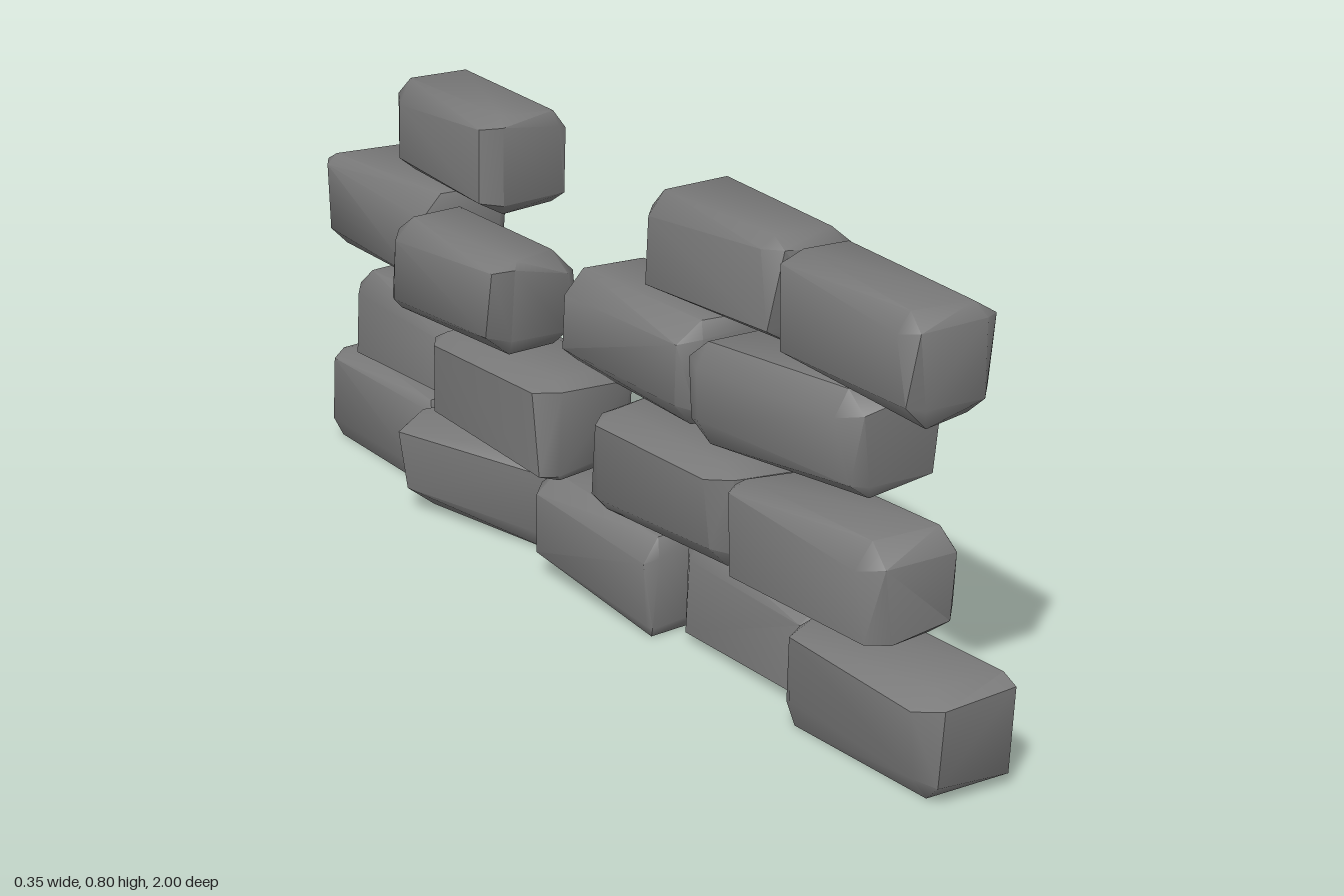
import * as THREE from 'three';
import { toCreasedNormals } from 'three/addons/utils/BufferGeometryUtils.js';
import { ConvexGeometry } from 'three/addons/geometries/ConvexGeometry.js';

// Courses from the ground up; each brick is
// [zMin, zMax, yMin, yMax, xMin, xMax, sideways skew along z]
const courses = [
  [
    [0.61, 1, 0, 0.19, -0.125, 0.07, 0],
    [0.22, 0.61, 0, 0.19, -0.06, 0.135, 0],
    [-0.19, 0.21, 0, 0.19, -0.12, 0.085, 0],
    [-0.6, -0.195, 0, 0.19, -0.155, 0.145, 0.25],
    [-1, -0.605, 0, 0.19, -0.08, 0.115, 0],
  ],
  [
    [0.435, 0.83, 0.195, 0.38, -0.12, 0.09, 0.03],
    [0.015, 0.415, 0.195, 0.38, -0.12, 0.08, 0.03],
    [-0.44, -0.04, 0.22, 0.405, -0.175, 0.04, 0],
    [-0.85, -0.455, 0.22, 0.4, -0.105, 0.09, 0],
  ],
  [
    [0.27, 0.67, 0.39, 0.578, -0.085, 0.175, 0.16],
    [-0.155, 0.24, 0.39, 0.58, -0.065, 0.13, 0],
    [-0.585, -0.195, 0.41, 0.59, -0.175, 0.025, 0],
    [-0.995, -0.6, 0.41, 0.6, -0.08, 0.115, 0],
  ],
  [
    [0.49, 0.89, 0.595, 0.785, -0.09, 0.125, -0.07],
    [0.07, 0.46, 0.595, 0.785, -0.04, 0.155, 0],
    [-0.765, -0.37, 0.615, 0.803, -0.08, 0.135, -0.08],
  ],
];

let seed = 7;
function rand(min, max) {
  seed = (seed * 16807) % 2147483647;
  return min + (max - min) * (seed / 2147483647);
}

// Rough-hewn block: a box with every corner cut back by a different amount
function brickGeometry([z0, z1, y0, y1, x0, x1, skew]) {
  const points = [];
  for (const sx of [-1, 1]) for (const sy of [-1, 1]) for (const sz of [-1, 1]) {
    const cx = rand(0.2, 0.6), cy = rand(0.15, 0.55), cz = rand(0.05, 0.24);
    points.push(
      new THREE.Vector3(sx * rand(0.9, 1), sy * (1 - cy), sz * (1 - cz)),
      new THREE.Vector3(sx * (1 - cx), sy * rand(0.96, 1), sz * (1 - cz)),
      new THREE.Vector3(sx * (1 - cx * 0.8), sy * (1 - cy * 0.8), sz * rand(0.98, 1)),
    );
  }
  for (const p of points) p.x = p.x * 0.1 + p.z * skew * 0.2;

  // Fit the block to its place in the wall
  const target = new THREE.Box3(new THREE.Vector3(x0, y0, z0), new THREE.Vector3(x1, y1, z1));
  const box = new THREE.Box3().setFromPoints(points);
  const scale = target.getSize(new THREE.Vector3()).divide(box.getSize(new THREE.Vector3()));
  for (const p of points) p.sub(box.min).multiply(scale).add(target.min);
  return toCreasedNormals(new ConvexGeometry(points), 0.85);
}

export function createModel() {
  const wall = new THREE.Group();
  wall.name = 'brokenBrickWall';
  const stone = new THREE.MeshStandardMaterial({ color: 0x797979 });
  courses.forEach((bricks, row) => {
    const course = new THREE.Group();
    course.name = `course${row + 1}`;
    bricks.forEach((brick, i) => {
      const mesh = new THREE.Mesh(brickGeometry(brick), stone);
      mesh.name = `brick${row + 1}_${i + 1}`;
      course.add(mesh);
    });
    wall.add(course);
  });
  return wall;
}
